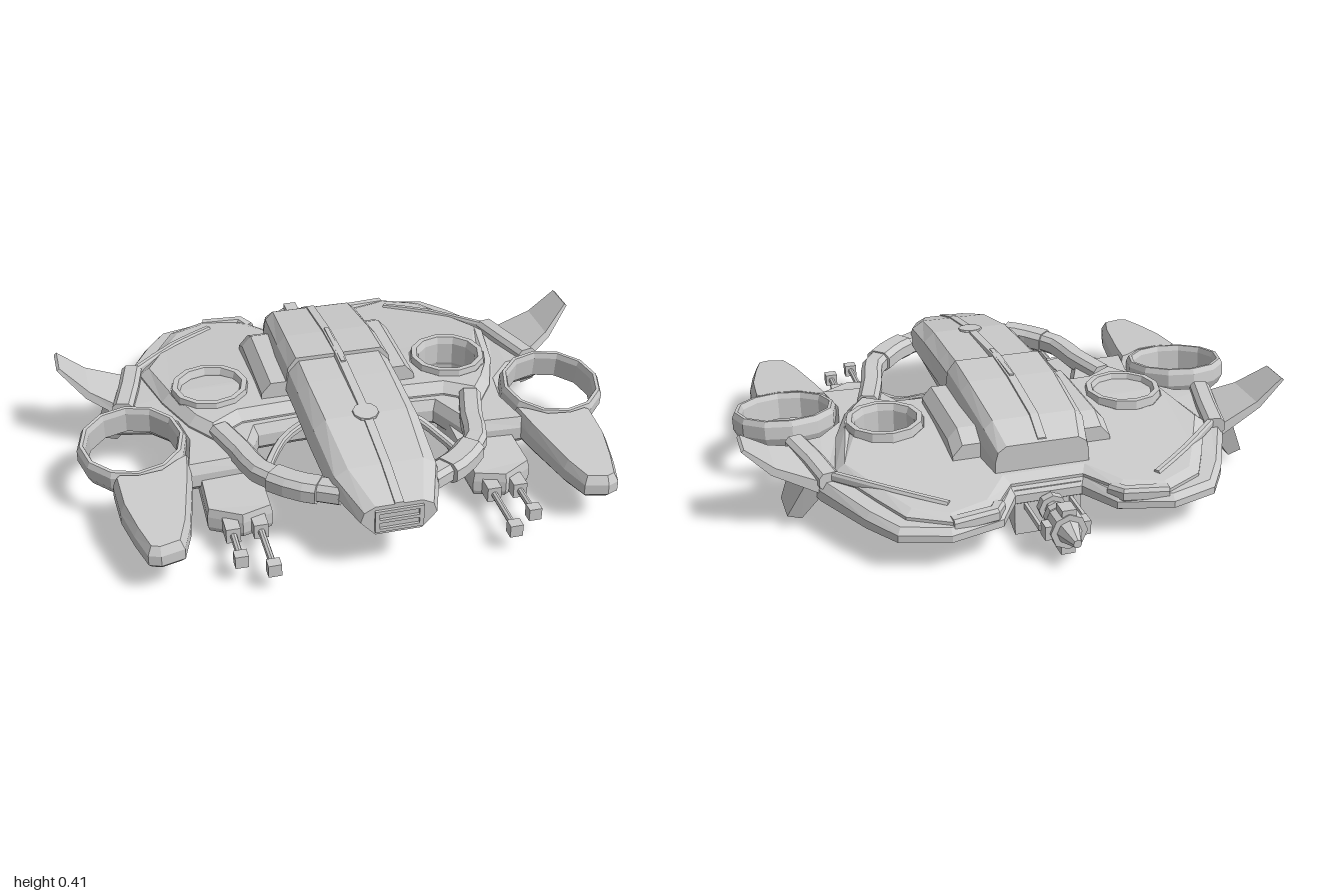
import * as THREE from 'three';

const material = new THREE.MeshStandardMaterial({ color: 0xcccccc, flatShading: true, side: THREE.DoubleSide });

// Joins matching cross-sections (lists of [x, y, z]) into a capped solid with outward faces
function loft(sections) {
  const n = sections[0].length, pos = sections.flat(2), tris = [];
  for (let s = 0; s < sections.length - 1; s++) {
    for (let i = 0; i < n; i++) {
      const a = s * n + i, b = s * n + (i + 1) % n;
      tris.push([a, b, b + n], [a, b + n, a + n]);
    }
  }
  const last = (sections.length - 1) * n;
  for (let i = 1; i < n - 1; i++) tris.push([0, i + 1, i], [last, last + i, last + i + 1]);
  const p = i => new THREE.Vector3().fromArray(pos, i * 3);
  const volume = tris.reduce((v, [a, b, c]) => v + p(a).dot(p(b).cross(p(c))), 0);
  const geo = new THREE.BufferGeometry();
  geo.setAttribute('position', new THREE.Float32BufferAttribute(pos, 3));
  geo.setIndex(tris.flatMap(([a, b, c]) => (volume < 0 ? [a, c, b] : [a, b, c])));
  return geo;
}

// Flat slab from an (x, z) outline with round holes [x, z, r]; top(x, z) sets the upper height
function slab(outline, bottom, top, bevel, holes = []) {
  const shape = new THREE.Shape(outline.map(([x, z]) => new THREE.Vector2(x, -z)));
  for (const [x, z, r] of holes) shape.holes.push(new THREE.Path().absarc(x, -z, r, 0, Math.PI * 2, false));
  const geo = new THREE.ExtrudeGeometry(shape, {
    depth: 0.5, bevelThickness: 0.25, bevelSize: bevel, bevelOffset: -bevel, bevelSegments: 1, curveSegments: 6,
  });
  geo.rotateX(-Math.PI / 2);
  const p = geo.attributes.position;
  for (let i = 0; i < p.count; i++) {
    const t = p.getY(i) + 0.25;
    const k = t < 0.1 ? 0 : t < 0.3 ? 0.2 : t < 0.8 ? 0.65 : 1;
    p.setY(i, bottom + k * (top(p.getX(i), p.getZ(i)) - bottom));
  }
  return geo;
}

// Beam with a chamfered box section swept along a curve
function beam(points, w, h, steps = 8) {
  const curve = new THREE.CatmullRomCurve3(points.map(q => new THREE.Vector3(...q)));
  const section = [[-1, -0.6], [-1, 0.5], [-0.6, 1], [0.6, 1], [1, 0.5], [1, -0.6], [0.6, -1], [-0.6, -1]];
  return loft(Array.from({ length: steps + 1 }, (_, i) => {
    const c = curve.getPoint(i / steps), t = curve.getTangent(i / steps);
    const side = new THREE.Vector3(t.z, 0, -t.x).normalize();
    return section.map(([a, b]) => [c.x + side.x * a * w / 2, c.y + b * h / 2, c.z + side.z * a * w / 2]);
  }));
}

// Body section: z, top, bottom, middle height, half widths at top, middle and bottom
const hullSection = ([z, t, b, m, wt, wm, wb]) => [
  [wt, t, z], [(wt + wm * 3) / 4, t * 0.65 + m * 0.35, z], [wm, m, z], [wb, b, z],
  [-wb, b, z], [-wm, m, z], [-(wt + wm * 3) / 4, t * 0.65 + m * 0.35, z], [-wt, t, z],
];
const box = (w, h, d, x, y, z) => new THREE.BoxGeometry(w, h, d).translate(x, y, z);
const rod = (r1, r2, len, x, y, z, sides = 8) =>
  new THREE.CylinderGeometry(r1, r2, len, sides).rotateX(Math.PI / 2).translate(x, y, z);

export function createModel() {
  const model = new THREE.Group();
  const add = (name, geo) => {
    const flat = geo.index ? geo.toNonIndexed() : geo;
    flat.computeVertexNormals();
    const mesh = new THREE.Mesh(flat, material);
    mesh.name = name;
    model.add(mesh);
  };
  // Adds the left part and its reflection, with the winding reversed
  const addPair = (name, geo) => {
    const left = geo.index ? geo.toNonIndexed() : geo;
    const right = left.clone().scale(-1, 1, 1), p = right.attributes.position;
    for (let i = 0; i < p.count; i += 3) {
      const b = [p.getX(i + 1), p.getY(i + 1), p.getZ(i + 1)];
      p.setXYZ(i + 1, p.getX(i + 2), p.getY(i + 2), p.getZ(i + 2));
      p.setXYZ(i + 2, ...b);
    }
    add('left ' + name, left);
    add('right ' + name, right);
  };
  const bothSides = half => [...half, ...half.map(([x, z]) => [-x, z]).reverse()];

  // Wing body with two openings and a raised deck
  const fans = r => [[0.46, -0.06, r], [-0.46, -0.06, r]];
  const fall = z => Math.max(0, -z - 0.1);
  add('wing body', slab(bothSides([
    [0.12, -0.55], [0.2, -0.68], [0.39, -0.73], [0.56, -0.68], [0.64, -0.56], [0.75, -0.34], [0.83, -0.04],
    [0.7, -0.01], [0.62, 0.08], [0.6, 0.2], [0.63, 0.37], [0.41, 0.36], [0.33, 0.18], [0.18, 0.17],
  ]), 0.11, (x, z) => 0.215 - 0.08 * fall(z), 0.02, fans(0.115)));
  add('wing deck', slab(bothSides([
    [0.13, -0.53], [0.22, -0.65], [0.38, -0.7], [0.52, -0.63], [0.59, -0.5], [0.69, -0.3],
    [0.64, -0.06], [0.57, 0.12], [0.5, 0.22], [0.38, 0.14], [0.18, 0.13],
  ]), 0.16, (x, z) => 0.255 - 0.11 * fall(z), 0.035, fans(0.112)));

  // Fuselage: forward canopy, raised rear housing, spine and hatch
  add('forward fuselage', loft([
    [0.83, 0.28, 0.17, 0.225, 0.08, 0.13, 0.08], [0.67, 0.33, 0.15, 0.25, 0.13, 0.19, 0.11],
    [0.43, 0.375, 0.14, 0.27, 0.145, 0.2, 0.12], [0.2, 0.388, 0.12, 0.28, 0.15, 0.2, 0.13],
    [0.04, 0.395, 0.115, 0.28, 0.15, 0.2, 0.13],
  ].map(hullSection)));
  add('rear fuselage', loft([
    [0.06, 0.408, 0.16, 0.3, 0.16, 0.2, 0.2], [-0.12, 0.4, 0.16, 0.3, 0.16, 0.2, 0.2],
    [-0.38, 0.365, 0.16, 0.28, 0.15, 0.19, 0.19], [-0.48, 0.31, 0.17, 0.25, 0.13, 0.17, 0.17],
  ].map(hullSection)));
  const spine = [[0.83, 0.285], [0.67, 0.335], [0.43, 0.38], [0.06, 0.412], [-0.12, 0.406], [-0.38, 0.371], [-0.47, 0.32]];
  add('spine', loft(spine.map(([z, y]) => [[-0.02, y - 0.03, z], [-0.015, y, z], [0.015, y, z], [0.02, y - 0.03, z]])));
  add('spine fin', box(0.016, 0.02, 0.25, 0, 0.402, 0));
  add('roof hatch', new THREE.CylinderGeometry(0.045, 0.05, 0.03, 10).rotateX(0.1).translate(0, 0.367, 0.42));
  for (const y of [0.19, 0.225, 0.26]) add('nose slat', box(0.15, 0.012, 0.03, 0, y, 0.825));
  addPair('nose slat side', box(0.015, 0.082, 0.03, 0.075, 0.225, 0.825));
  addPair('side housing', loft([[0.06, 0.315], [-0.3, 0.315], [-0.37, 0.28]].map(([z, t]) =>
    [[0.17, 0.19, z], [0.17, t, z], [0.255, t, z], [0.29, t - 0.04, z], [0.29, 0.19, z]])));

  // Ducted fan rings: profiles of [radius, height]
  const ring = (profile, sides) => new THREE.LatheGeometry(
    profile.map(q => new THREE.Vector2(...q)), sides);
  addPair('inner fan ring', ring([[0.132, 0.11], [0.14, 0.12], [0.148, 0.22], [0.14, 0.275],
    [0.12, 0.275], [0.11, 0.25], [0.11, 0.165], [0.132, 0.11]], 12).translate(0.46, 0, -0.06));
  addPair('outer fan ring', ring([[0.162, -0.055], [0.174, -0.055], [0.192, -0.02], [0.192, 0.025], [0.182, 0.045],
    [0.17, 0.045], [0.162, 0.025], [0.162, -0.055]], 12).rotateX(0.13).translate(0.783, 0.205, 0.188));

  // Forward nacelles cupping the outer rings
  addPair('forward nacelle', slab([
    [0.595, 0.29], [0.65, 0.31], [0.71, 0.355], [0.785, 0.365], [0.85, 0.35], [0.875, 0.37],
    [0.868, 0.52], [0.84, 0.65], [0.81, 0.755], [0.77, 0.77], [0.69, 0.75], [0.655, 0.645], [0.61, 0.42],
  ], 0.115, (x, z) => 0.225 - 0.065 * (z - 0.36), 0.016));

  // Curved arms from the wing to the nose
  addPair('nose arm', beam([[0.47, 0.22, 0.18], [0.42, 0.225, 0.34], [0.385, 0.235, 0.48], [0.29, 0.24, 0.59], [0.15, 0.245, 0.68]], 0.08, 0.07));
  addPair('nose arm collar', beam([[0.35, 0.238, 0.53], [0.28, 0.242, 0.605], [0.22, 0.245, 0.645]], 0.1, 0.078, 3));
  addPair('inner brace', beam([[0.15, 0.22, 0.19], [0.25, 0.19, 0.24], [0.32, 0.15, 0.32], [0.37, 0.13, 0.43]], 0.03, 0.03));

  // Gun pods with twin barrels
  addPair('gun pod', slab([
    [0.36, 0.15], [0.57, 0.15], [0.58, 0.52], [0.47, 0.585], [0.36, 0.55],
  ], 0.05, (x, z) => z > 0.3 ? 0.14 : 0.17, 0.006));
  for (const [x, tip] of [[0.415, 0.835], [0.51, 0.765]]) {
    addPair('gun barrel', rod(0.012, 0.012, tip - 0.5, x, 0.09, (tip + 0.5) / 2));
    addPair('gun muzzle', box(0.045, 0.045, 0.04, x, 0.09, tip - 0.02));
    addPair('gun breech', box(0.05, 0.055, 0.07, x, 0.09, 0.585));
  }

  // Upswept side fins and lower fins
  const blade = (x, y, z0, z1, tx, ty) => [[x - tx, y + ty, z0], [x + tx, y - ty, z0], [x + tx, y - ty, z1], [x - tx, y + ty, z1]];
  addPair('side fin', loft([blade(0.74, 0.17, -0.33, -0.05, 0.008, 0.02),
    blade(0.9, 0.25, -0.315, -0.13, 0.008, 0.012), blade(0.995, 0.34, -0.31, -0.19, 0.005, 0.004)]));
  addPair('lower fin', loft([blade(0.76, 0.17, -0.32, -0.08, -0.04, 0.01),
    blade(0.835, 0.045, -0.28, -0.14, -0.025, 0.008)]));
  addPair('wing edge rail', beam([[0.715, 0.2, -0.34], [0.745, 0.21, -0.2], [0.785, 0.215, -0.05]], 0.075, 0.06, 2));

  // Raised seams on the rear lobes
  addPair('rear seam', beam([[0.37, 0.19, -0.61], [0.53, 0.205, -0.49], [0.7, 0.21, -0.33]], 0.025, 0.035, 4));
  addPair('rear vent', beam([[0.2, 0.165, -0.62], [0.23, 0.17, -0.67], [0.38, 0.165, -0.69]], 0.045, 0.05, 2));

  // Belly wedge and rear gun
  add('belly wedge', loft([-0.12, 0.12].map(x => [[x, 0.115, -0.25], [x, 0.003, -0.55], [x, 0.17, -0.54]])));
  add('rear gun shaft', rod(0.03, 0.03, 0.18, 0, 0.11, -0.62));
  for (const z of [-0.58, -0.65]) add('rear gun collar', rod(0.05, 0.05, 0.03, 0, 0.11, z));
  add('rear gun block', rod(0.065, 0.065, 0.07, 0, 0.11, -0.725));
  add('rear gun crossbar', box(0.16, 0.05, 0.05, 0, 0.11, -0.725));
  add('rear gun upright', box(0.05, 0.165, 0.06, 0, 0.107, -0.725));
  add('rear gun nozzle', rod(0.045, 0.015, 0.085, 0, 0.11, -0.798));
  addPair('rear gun rail', box(0.012, 0.02, 0.17, 0.082, 0.11, -0.62));
  return model;
}
